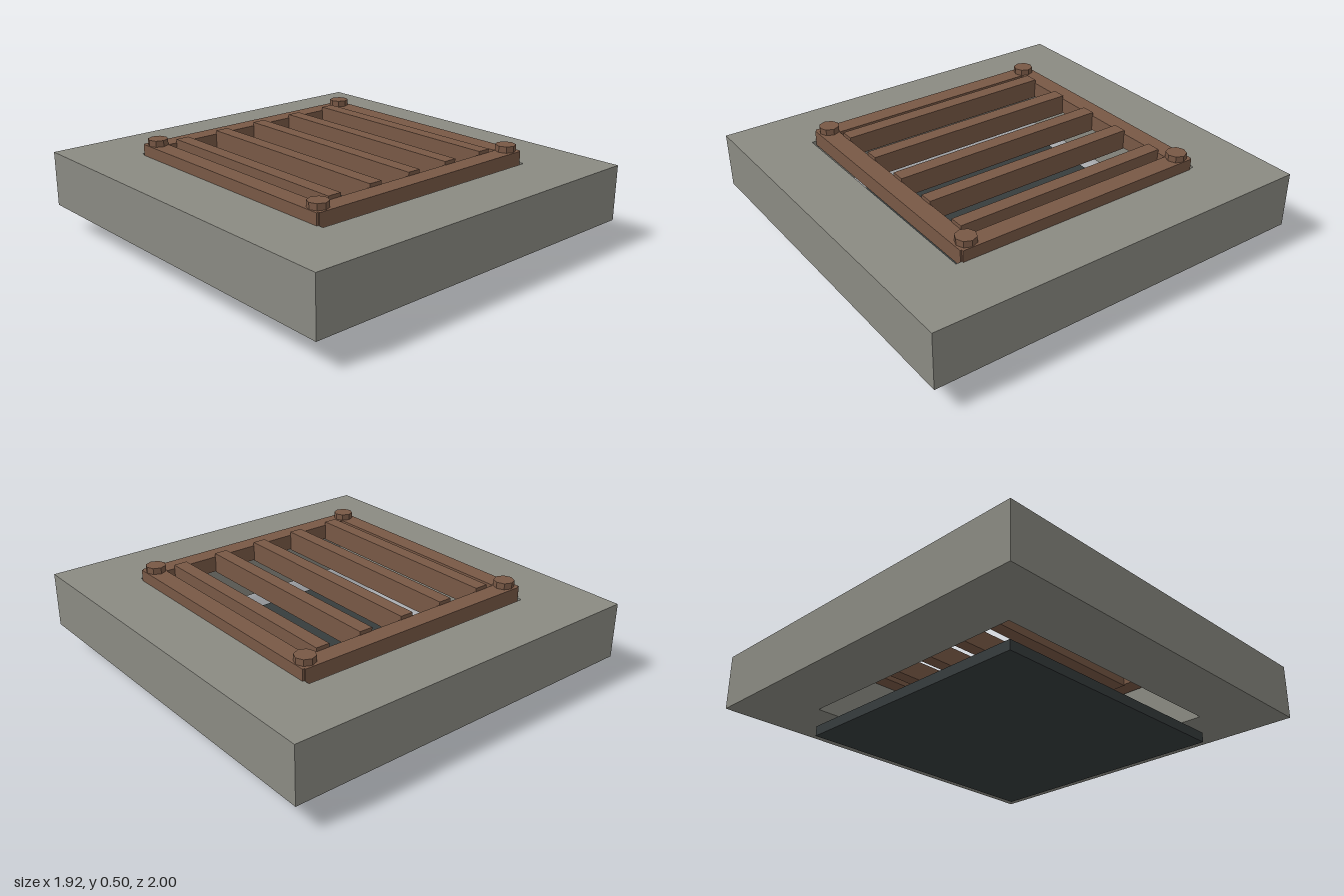
import * as THREE from 'three';

export function createModel() {
  const stone = new THREE.MeshStandardMaterial({ name: 'stone', color: 0x8a8a82 });
  const rust = new THREE.MeshStandardMaterial({ name: 'rusty iron', color: 0x785845 });
  const dark = new THREE.MeshStandardMaterial({ name: 'dark pit', color: 0x363c3d });
  const model = new THREE.Group();
  model.name = 'floorGrate';

  const add = (name, geometry, material, x, y, z) => {
    const mesh = new THREE.Mesh(geometry, material);
    mesh.name = name;
    mesh.position.set(x, y, z);
    model.add(mesh);
    return mesh;
  };
  // Box given by its width, depth and bottom and top heights
  const box = (name, material, w, d, y0, y1, x = 0, z = 0) =>
    add(name, new THREE.BoxGeometry(w, y1 - y0, d), material, x, (y0 + y1) / 2, z);

  // Stone slab with a rectangular opening
  const rect = (shape, w, d) => shape.moveTo(-w, -d).lineTo(w, -d).lineTo(w, d).lineTo(-w, d).closePath();
  const outline = rect(new THREE.Shape(), 0.96, 1);
  outline.holes.push(rect(new THREE.Path(), 0.643, 0.68));
  const slab = new THREE.ExtrudeGeometry(outline, { depth: 0.28, bevelEnabled: false });
  slab.rotateX(-Math.PI / 2);
  add('slab', slab, stone, 0, 0.137, 0);

  // Dark plate hanging below the opening
  box('pitPlate', dark, 1.3, 1.36, 0, 0.05);

  // Frame rails and corner bolts
  for (const s of [-1, 1]) {
    box('sideRail', rust, 0.09, 1.3, 0.395, 0.474, s * 0.607, 0);
    box('endRail', rust, 1.285, 0.093, 0.395, 0.474, 0, s * 0.611);
    for (const t of [-1, 1]) {
      const bolt = new THREE.CylinderGeometry(0.05, 0.05, 0.05, 8).toNonIndexed();
      bolt.computeVertexNormals();
      add('cornerBolt', bolt, rust, s * 0.6, 0.48, t * 0.6);
    }
  }

  // Grate bars
  for (let i = -2; i <= 2; i++) {
    box('grateBar', rust, 0.07, 1.135, 0.39, 0.492, i * 0.24, 0);
  }
  return model;
}
